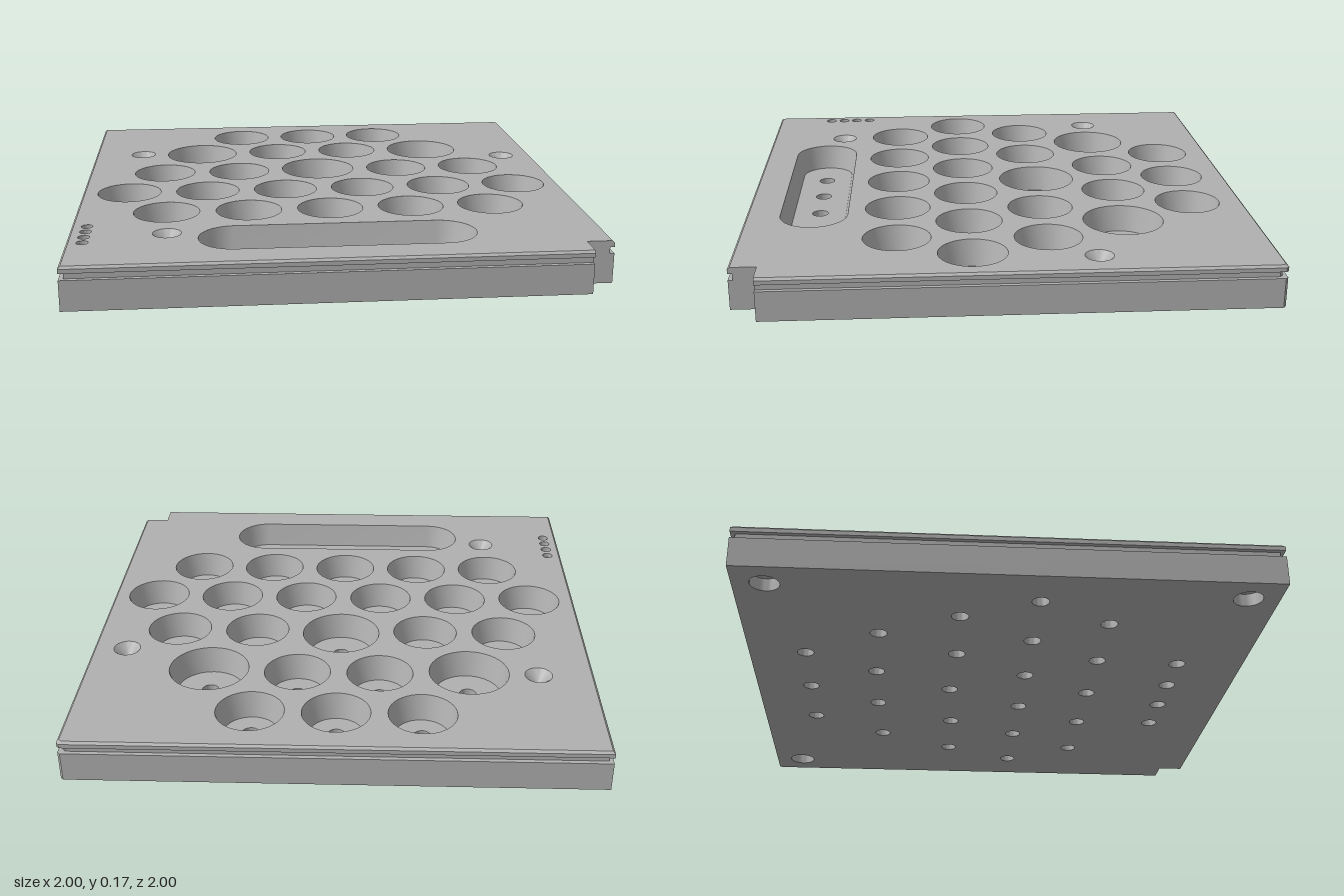
import * as THREE from 'three';
import { toCreasedNormals } from 'three/addons/utils/BufferGeometryUtils.js';

const H = 0.165, FLOOR = 0.065, HOLE = 0.033, SEG = 40;

// x, z of the pockets
const row = (z, xs) => xs.map((x) => [x, z]);
const SMALL = [
  ...row(-0.775, [-0.323, 0, 0.323]),
  ...row(-0.495, [-0.162, 0.162]),
  ...row(-0.17, [-0.672, -0.348, 0.348, 0.672]),
  ...row(0.122, [-0.808, -0.485, -0.162, 0.162, 0.485, 0.808]),
  ...row(0.402, [-0.646, -0.323, 0, 0.323, 0.646]),
];
const LARGE = [[-0.512, -0.48], [0.512, -0.48], [0, -0.187]];
const DIMPLES = [[-0.783, -0.493], [0.864, -0.337], [-0.636, 0.665]];
const DOTS = row(0, [0, 1, 2, 3]).map(([i]) => [-0.94, 0.56 + i * 0.0625]);
const FEET = [[0.88, -0.88], [-0.88, -0.88], [-0.88, 0.88]];
const SLOT = { x: 0, z: 0.732, half: 0.387, r: 0.133, rIn: 0.108 };
const SLOT_HOLES = row(SLOT.z, [-0.313, -0.104, 0.104, 0.313]);

// All outlines are lists of [x, z], counter-clockwise seen from above
function circle([cx, cz], r) {
  return Array.from({ length: SEG }, (_, i) => {
    const a = (i / SEG) * Math.PI * 2;
    return [cx + r * Math.cos(a), cz - r * Math.sin(a)];
  });
}

function stadium(r) {
  const pts = [];
  for (const side of [1, -1]) {
    for (let i = 0; i <= 20; i++) {
      const a = -Math.PI / 2 + (i / 20) * Math.PI;
      pts.push([SLOT.x + side * (SLOT.half + r * Math.cos(a)), SLOT.z - side * r * Math.sin(a)]);
    }
  }
  return pts;
}

// Square with one corner notch and one tiny corner chamfer
function plateOutline(inset) {
  const e = 1 - inset, n = 0.895, c = 0.01;
  return [[-e, e], [n, e], [n, n], [e, n], [e, -e + c], [e - c, -e], [-e, -e]];
}

// Flat face with holes, facing up or down
function face(outline, holes, y, up = true) {
  const s = up ? -1 : 1;
  const vec = (pts) => pts.map(([x, z]) => new THREE.Vector2(x, s * z));
  const shape = new THREE.Shape(vec(outline));
  shape.holes = holes.map((h) => new THREE.Path(vec(h)));
  return new THREE.ShapeGeometry(shape).rotateX(s * Math.PI / 2).translate(0, y, 0);
}

// Wall through a stack of { pts, y } rings; rising rings face outward
function loft(rings) {
  const pos = [];
  for (let k = 0; k + 1 < rings.length; k++) {
    const A = rings[k], B = rings[k + 1], n = A.pts.length;
    const at = (R, i) => [R.pts[i % n][0], R.y, R.pts[i % n][1]];
    for (let i = 0; i < n; i++) {
      pos.push(...at(A, i), ...at(A, i + 1), ...at(B, i + 1));
      pos.push(...at(A, i), ...at(B, i + 1), ...at(B, i));
    }
  }
  const g = new THREE.BufferGeometry();
  g.setAttribute('position', new THREE.Float32BufferAttribute(pos, 3));
  return toCreasedNormals(g, 0.4);
}

// Turned recess, profile of [radius, y] running inward from its rim
function turned(profile) {
  const g = new THREE.LatheGeometry(profile.map(([r, y]) => new THREE.Vector2(r, y)), SEG);
  return toCreasedNormals(g, 0.4);
}

export function createModel() {
  const model = new THREE.Group();
  const grey = new THREE.MeshStandardMaterial({ color: 0xb0b0b0 });
  grey.name = 'grey';
  const add = (name, geometry, [x, z] = [0, 0]) => {
    const mesh = new THREE.Mesh(geometry, grey);
    mesh.name = name;
    mesh.position.set(x, 0, z);
    model.add(mesh);
  };
  const circles = (list, r) => list.map((p) => circle(p, r));

  // Plate: sides with a groove and a bevelled top edge
  const sides = [[0, 0], [0, 0.115], [0.017, 0.115], [0.017, 0.14], [0, 0.14], [0, 0.156], [0.009, H]];
  add('plateSides', loft(sides.map(([inset, y]) => ({ pts: plateOutline(inset), y }))));
  add('plateTop', face(plateOutline(0.009), [
    ...circles(SMALL, 0.13), ...circles(LARGE, 0.157),
    ...circles(DIMPLES, 0.054), ...circles(DOTS, 0.022), stadium(SLOT.r),
  ], H));
  add('plateBottom', face(plateOutline(0), [
    ...circles([...SMALL, ...LARGE, ...SLOT_HOLES], HOLE), ...circles(FEET, 0.055),
  ], 0, false));

  // Round pockets, each with a through hole
  const pocket = (r, rIn) => turned([[r, H], [rIn, FLOOR], [HOLE, FLOOR], [HOLE, 0]]);
  const small = pocket(0.13, 0.105), large = pocket(0.157, 0.132);
  SMALL.forEach((p) => add('smallPocket', small, p));
  LARGE.forEach((p) => add('largePocket', large, p));

  // Long pocket with four through holes
  add('slotWall', loft([{ pts: stadium(SLOT.r), y: H }, { pts: stadium(SLOT.rIn), y: FLOOR }]));
  add('slotFloor', face(stadium(SLOT.rIn), circles(SLOT_HOLES, HOLE), FLOOR));
  const bore = turned([[HOLE, FLOOR], [HOLE, 0]]);
  SLOT_HOLES.forEach((p) => add('slotHole', bore, p));

  // Conical dimples and small marker dots
  const dimple = turned([[0.054, H], [0, H - 0.05]]);
  DIMPLES.forEach((p) => add('dimple', dimple, p));
  const dot = turned([[0.022, H], [0.022, H - 0.02], [0, H - 0.02]]);
  DOTS.forEach((p) => add('markerDot', dot, p));

  // Blind holes under three corners
  const foot = turned([[0, 0.05], [0.055, 0.05], [0.055, 0]]);
  FEET.forEach((p) => add('footHole', foot, p));

  return model;
}
